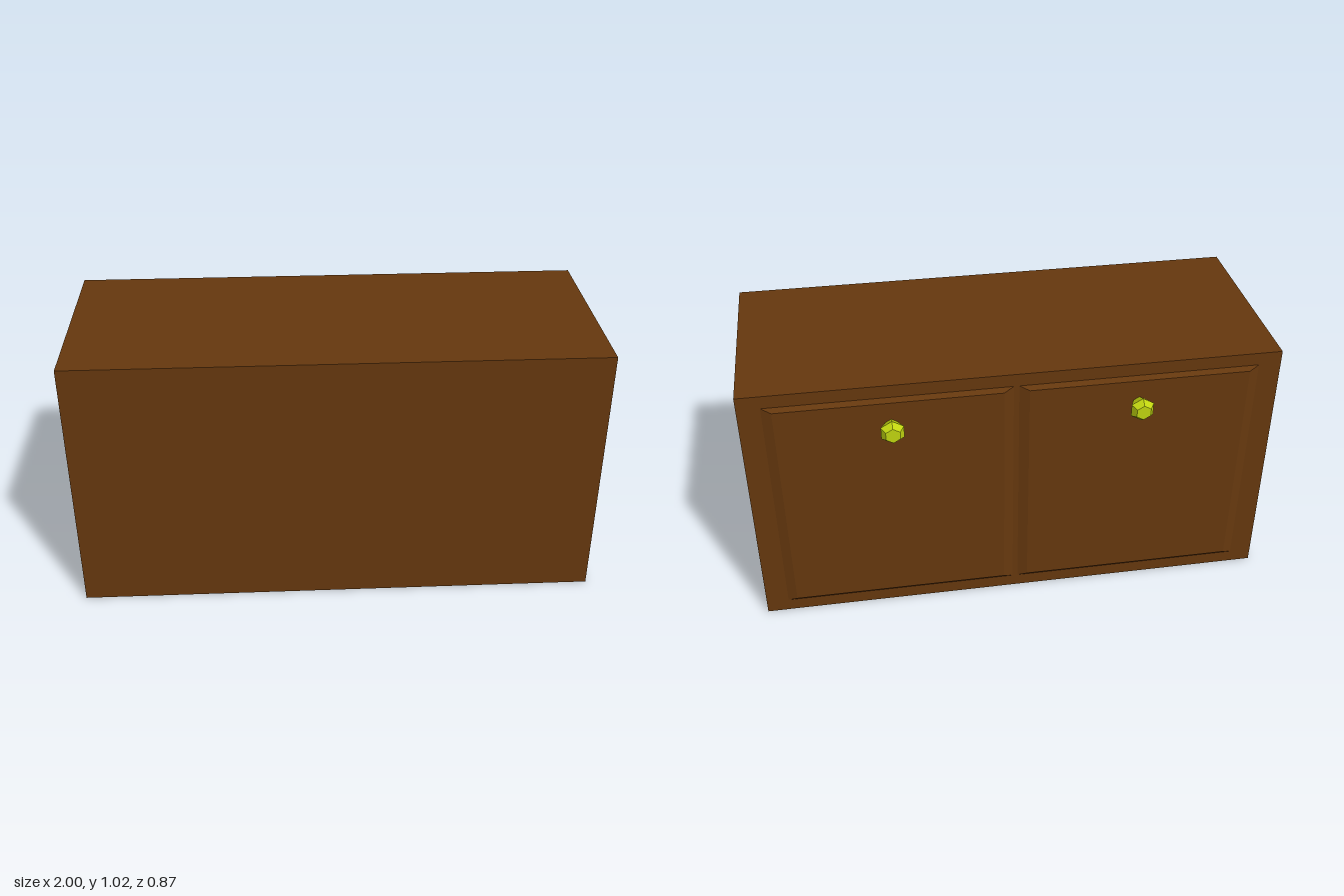
import * as THREE from 'three';

const wood = new THREE.MeshStandardMaterial({ color: 0x66380e, flatShading: true });
const brass = new THREE.MeshStandardMaterial({ color: 0xc0d410, flatShading: true });

const HEIGHT = 1.02, BACK = -0.35, FRONT = 0.435, PANEL_DEPTH = 0.014;

function addMesh(parent, name, geometry, material, x, y, z) {
  const mesh = new THREE.Mesh(geometry, material);
  mesh.name = name;
  mesh.position.set(x, y, z);
  parent.add(mesh);
}

// Raised door panel whose outer face is smaller than its base, leaving a bevel
function panelGeometry(width, height, bevelX, bevelY) {
  const geometry = new THREE.BoxGeometry(width, height, PANEL_DEPTH);
  const p = geometry.attributes.position;
  for (let i = 0; i < p.count; i++) {
    if (p.getZ(i) > 0) continue;
    p.setX(i, p.getX(i) - Math.sign(p.getX(i)) * bevelX);
    p.setY(i, p.getY(i) - Math.sign(p.getY(i)) * bevelY);
  }
  geometry.computeVertexNormals();
  return geometry;
}

// Six-sided flared knob pointing towards -z
function knobGeometry() {
  const profile = [[0.025, 0], [0.048, 0.048], [0.03, 0.072], [0, 0.072]];
  const points = profile.map(([r, h]) => new THREE.Vector2(r, h));
  return new THREE.LatheGeometry(points, 6).rotateX(-Math.PI / 2);
}

export function createModel() {
  const group = new THREE.Group();
  group.name = 'cabinet';

  // Solid body
  addMesh(group, 'body', new THREE.BoxGeometry(2, HEIGHT, FRONT - BACK), wood,
    0, HEIGHT / 2, (FRONT + BACK) / 2);

  // Pair of doors, each with a knob
  for (const side of [-1, 1]) {
    const door = new THREE.Group();
    door.name = side > 0 ? 'leftDoor' : 'rightDoor';
    addMesh(door, 'doorPanel', panelGeometry(0.905, 0.92, 0.037, 0.016), wood,
      side * 0.4625, HEIGHT / 2, BACK - PANEL_DEPTH / 2);
    addMesh(door, 'knob', knobGeometry(), brass, side * 0.46, 0.86, BACK - PANEL_DEPTH);
    group.add(door);
  }
  return group;
}
